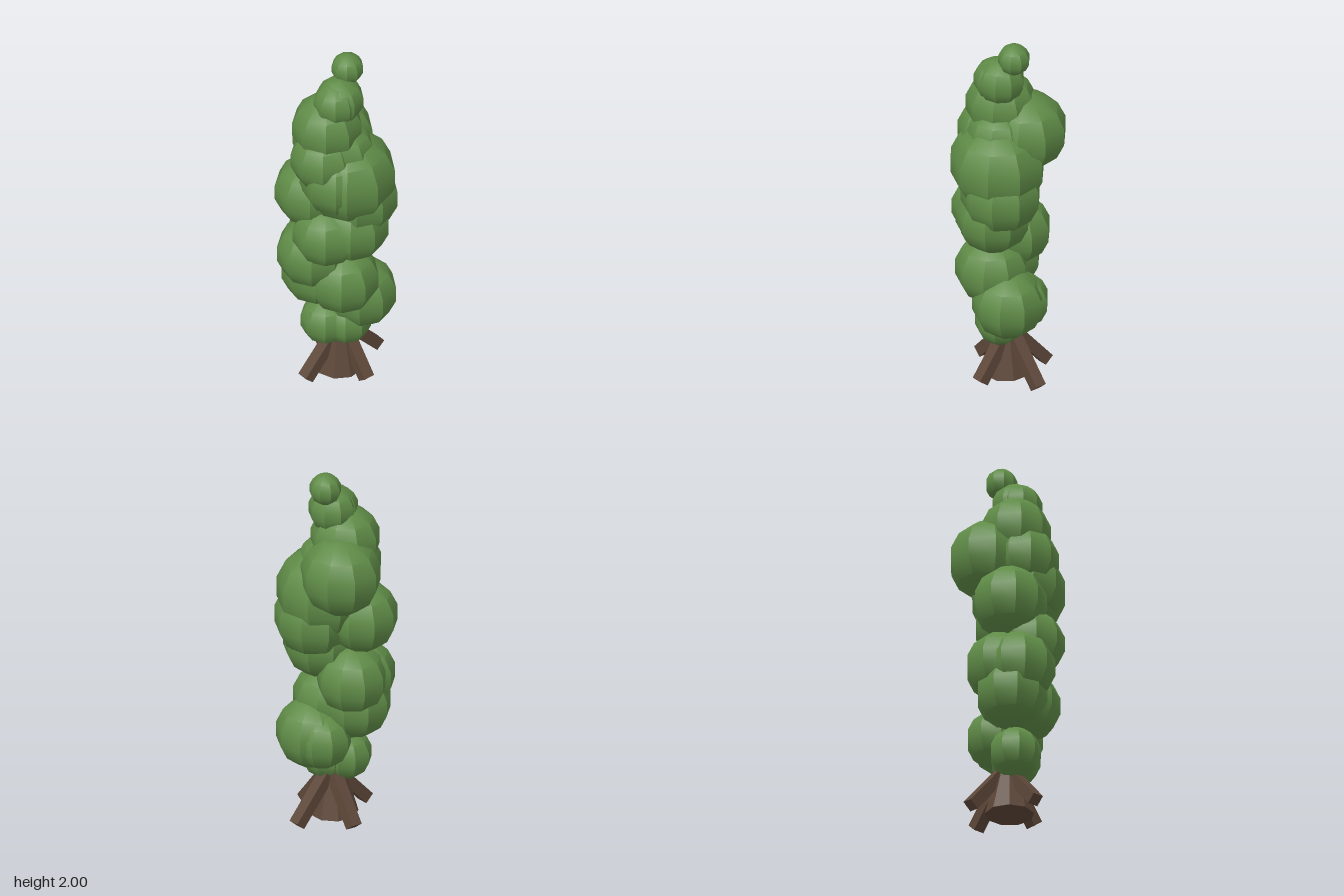
import * as THREE from 'three';
import { toCreasedNormals } from 'three/addons/utils/BufferGeometryUtils.js';

export function createModel() {
  const group = new THREE.Group();
  const leafGreen = new THREE.MeshStandardMaterial({ color: 0x5f8b47 });
  leafGreen.name = 'leafGreen';
  const barkBrown = new THREE.MeshStandardMaterial({ color: 0x5d4739 });
  barkBrown.name = 'barkBrown';

  // Foliage: nine-sided clumps spiralling up, each [x, y, z, radius]
  const clumps = [
    [-0.025, 0.335, 0.05, 0.137], [0.043, 0.335, -0.03, 0.133],
    [0.056, 0.485, -0.115, 0.192], [-0.02, 0.47, -0.112, 0.158],
    [0.065, 0.642, 0.012, 0.195], [-0.07, 0.645, 0.075, 0.19],
    [-0.052, 0.79, 0.117, 0.192], [-0.1, 0.81, 0.025, 0.189],
    [0.088, 0.985, -0.03, 0.2], [0.04, 0.957, 0.1, 0.18],
    [-0.095, 1.155, 0.092, 0.196], [0.075, 1.14, -0.08, 0.215],
    [0.057, 1.285, -0.033, 0.253], [0.06, 1.3, 0.045, 0.2],
    [-0.108, 1.445, -0.06, 0.215],
    [0.01, 1.425, 0.092, 0.178], [0.04, 1.44, -0.01, 0.17],
    [-0.02, 1.59, 0.047, 0.187],
    [0.02, 1.765, -0.005, 0.128], [0.027, 1.76, 0.025, 0.12],
    [-0.01, 1.917, -0.08, 0.085],
  ];
  const foliage = new THREE.Group();
  foliage.name = 'foliage';
  const ball = toCreasedNormals(new THREE.SphereGeometry(1, 9, 7), THREE.MathUtils.degToRad(33));
  ball.rotateY(Math.PI);
  for (const [x, y, z, r] of clumps) {
    const clump = new THREE.Mesh(ball, leafGreen);
    clump.name = 'leafClump';
    clump.position.set(x, y, z);
    clump.scale.setScalar(r);
    foliage.add(clump);
  }
  group.add(foliage);

  // Trunk: tapered stump under the foliage
  const trunkShape = new THREE.CylinderGeometry(0.05, 0.13, 0.28, 9);
  const trunk = new THREE.Mesh(toCreasedNormals(trunkShape, 0.5), barkBrown);
  trunk.name = 'trunk';
  trunk.position.set(-0.005, 0.154, -0.02);
  group.add(trunk);

  // Roots: four square struts splayed outwards from [-0.01, -0.04], cut square at the foot
  const up = new THREE.Vector3(0, 1, 0);
  const feet = [[0.187, -0.05], [-0.225, -0.07], [-0.01, 0.197], [-0.016, -0.28]];
  for (const [x, z] of feet) {
    const foot = new THREE.Vector3(x, 0.022, z);
    const top = new THREE.Vector3(-0.01, 0.245, -0.04).lerp(new THREE.Vector3(x, 0.245, z), 0.14);
    const along = top.clone().sub(foot);
    const root = new THREE.Mesh(new THREE.BoxGeometry(0.062, along.length(), 0.062), barkBrown);
    root.name = 'root';
    root.position.copy(foot).add(top).multiplyScalar(0.5);
    root.quaternion.setFromUnitVectors(up, along.normalize());
    group.add(root);
  }
  return group;
}
